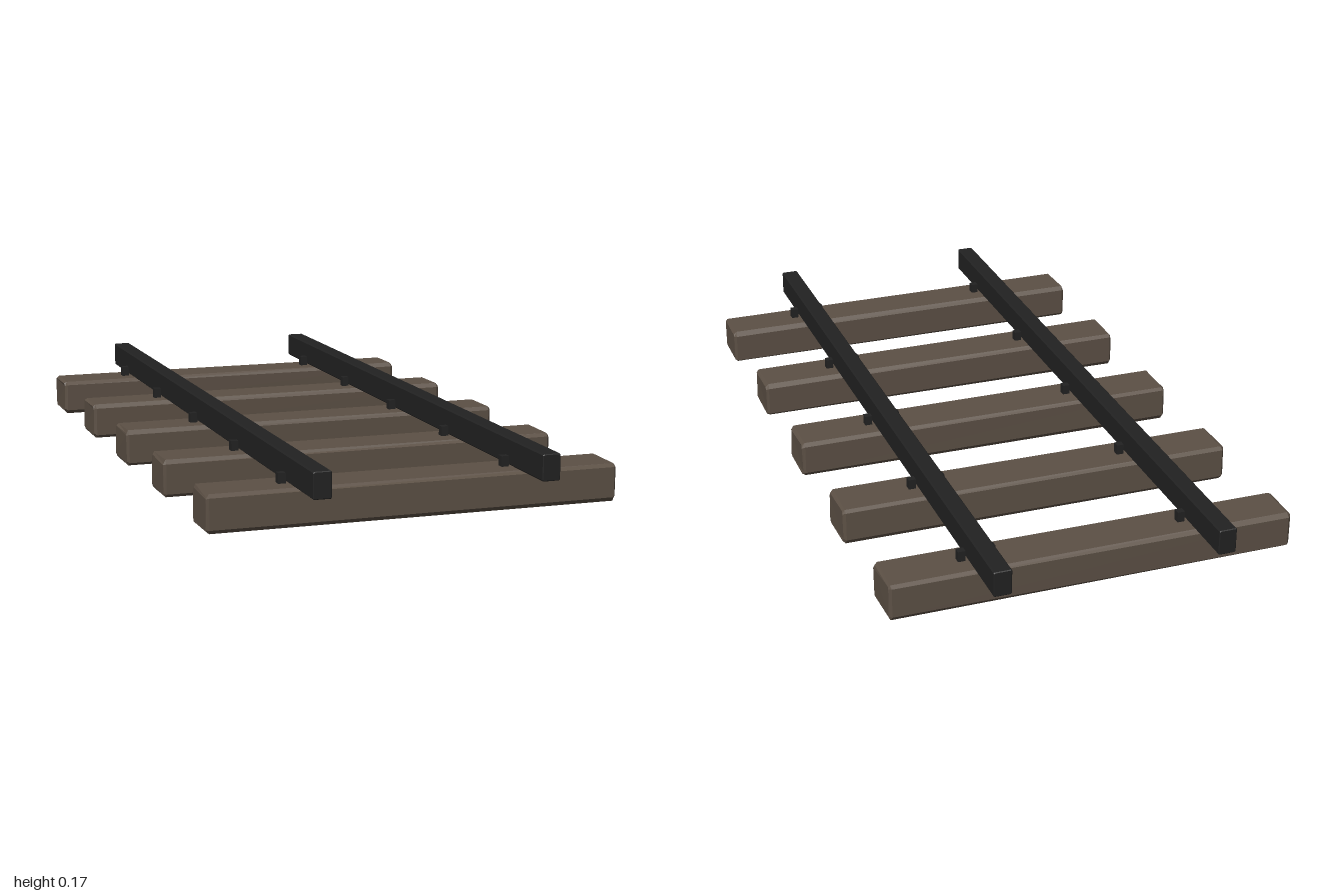
import * as THREE from 'three';

const wood = new THREE.MeshStandardMaterial({ color: 0x5c5045, flatShading: true });
wood.name = 'weathered wood';
const iron = new THREE.MeshStandardMaterial({ color: 0x222222, flatShading: true });
iron.name = 'dark iron';

// Beam along z with chamfered long edges and bevelled ends, centred on the origin
function beam(width, height, length, chamfer) {
  const w = width / 2, h = height / 2, c = chamfer;
  const profile = new THREE.Shape([
    [-w + c, -h], [w - c, -h], [w, -h + c], [w, h - c],
    [w - c, h], [-w + c, h], [-w, h - c], [-w, -h + c],
  ].map(([x, y]) => new THREE.Vector2(x, y)));
  const b = c * 0.7;
  const geometry = new THREE.ExtrudeGeometry(profile, {
    depth: length - 2 * b, bevelEnabled: true, bevelSegments: 1,
    bevelSize: b, bevelThickness: b, bevelOffset: -b,
  });
  return geometry.translate(0, 0, -length / 2 + b);
}

// Slight hand-cut unevenness; coincident corners always move together
function roughen(geometry, seed, amount) {
  const p = geometry.attributes.position;
  const noise = (x, y, z, k) => Math.sin(x * 127 + y * 311 + z * 74 + k * 2.7 + seed * 5.3);
  for (let i = 0; i < p.count; i++) {
    const [x, y, z] = [p.getX(i), p.getY(i), p.getZ(i)];
    p.setXYZ(i, x + amount * noise(x, y, z, 1), y + amount * noise(x, y, z, 2), z + amount * noise(x, y, z, 3));
  }
  geometry.computeVertexNormals();
  return geometry;
}

export function createModel() {
  const track = new THREE.Group();
  track.name = 'railTrack';

  const add = (name, geometry, material, x, y, z) => {
    const mesh = new THREE.Mesh(geometry, material);
    mesh.name = name;
    mesh.position.set(x, y, z);
    track.add(mesh);
  };

  // Rails
  const railGeometry = beam(0.048, 0.069, 2, 0.003);
  add('leftRail', railGeometry, iron, 0.3, 0.1375, 0);
  add('rightRail', railGeometry, iron, -0.3, 0.1375, 0);

  // Sleepers, each with a spike on both sides of each rail
  const spikeGeometry = new THREE.BoxGeometry(0.02, 0.03, 0.02);
  for (let i = -2; i <= 2; i++) {
    const z = i * 0.4;
    const sleeper = roughen(beam(0.134, 0.1, 1.098, 0.01), i + 3, 0.0015).rotateY(Math.PI / 2);
    add('sleeper', sleeper, wood, 0, 0.0525, z);
    for (const side of [-1, 1]) {
      for (const offset of [-0.04, 0.04]) {
        add('spike', spikeGeometry, iron, side * 0.3 + offset, 0.115, z);
      }
    }
  }
  return track;
}
